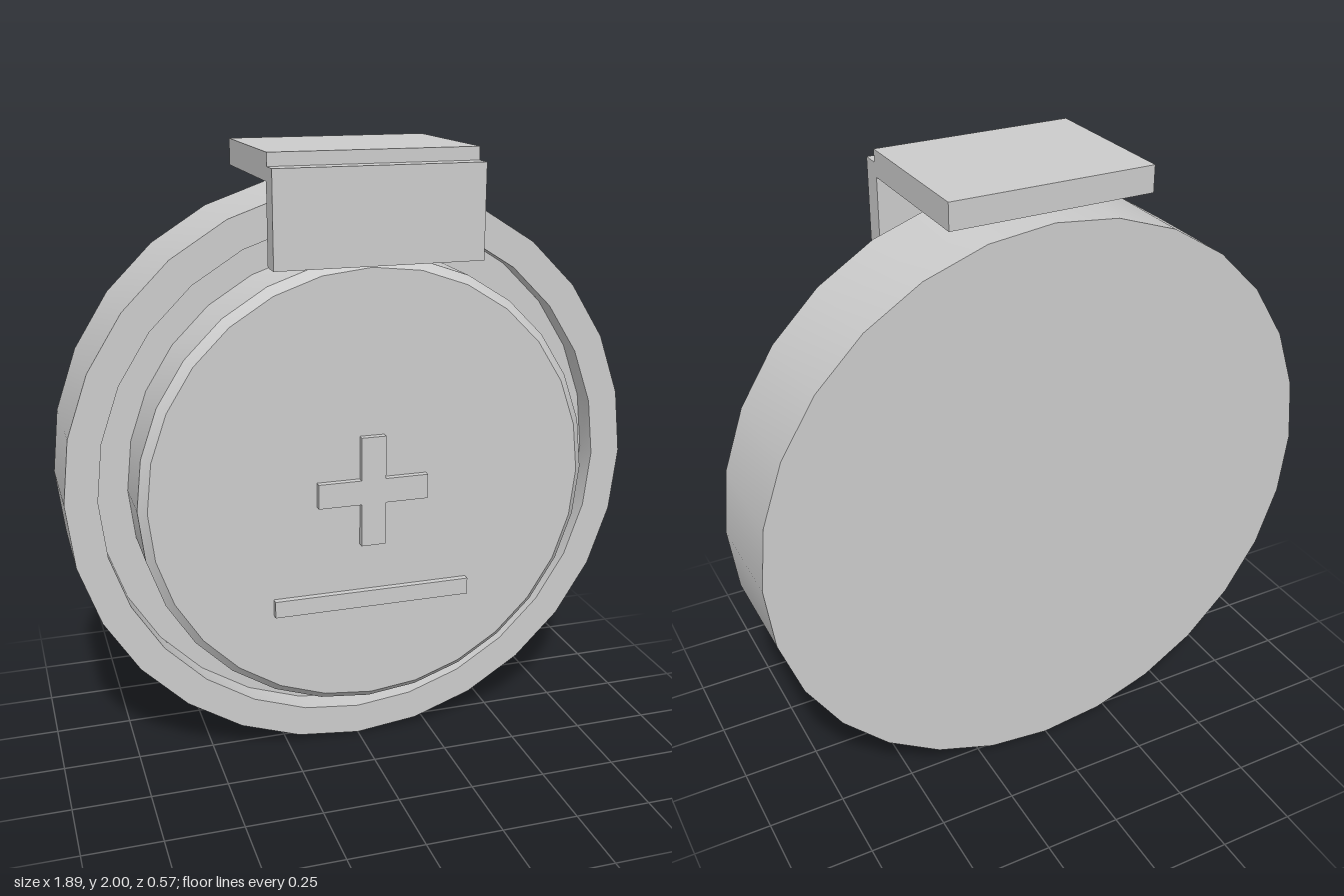
import * as THREE from 'three';
import { toCreasedNormals } from 'three/addons/utils/BufferGeometryUtils.js';

const SIDES = 28;
const CENTER_Y = 0.943;

export function createModel() {
  const model = new THREE.Group();
  model.name = 'coinCell';
  const steel = new THREE.MeshStandardMaterial({ color: 0xcccccc });
  steel.name = 'light grey steel';

  const add = (name, geometry, x = 0, y = 0, z = 0) => {
    const mesh = new THREE.Mesh(geometry, steel);
    mesh.name = name;
    mesh.position.set(x, y, z);
    model.add(mesh);
  };

  // Round part from a [radius, z] profile, turned to face +z
  const turned = (name, profile) => {
    const points = profile.map(([r, z]) => new THREE.Vector2(r, z));
    const geometry = new THREE.LatheGeometry(points, SIDES).rotateX(Math.PI / 2);
    add(name, toCreasedNormals(geometry, 0.6), 0, CENTER_Y, 0);
  };

  // Box given by its limits
  const block = (name, x0, x1, y0, y1, z0, z1) =>
    add(name, new THREE.BoxGeometry(x1 - x0, y1 - y0, z1 - z0),
      (x0 + x1) / 2, (y0 + y1) / 2, (z0 + z1) / 2);

  // Outer can with a raised rim around a sunken floor
  turned('can', [[0, -0.283], [0.943, -0.283], [0.943, 0.06], [0.84, 0.06], [0.84, -0.025], [0, -0.025]]);

  // Raised terminal disc with a chamfered edge
  turned('terminal', [[0.737, -0.025], [0.737, 0.178], [0.71, 0.205], [0, 0.205]]);

  // Plus sign
  const a = 0.04, b = 0.18;
  const plus = new THREE.Shape([
    [-a, -b], [a, -b], [a, -a], [b, -a], [b, a], [a, a],
    [a, b], [-a, b], [-a, a], [-b, a], [-b, -a], [-a, -a],
  ].map(([x, y]) => new THREE.Vector2(x, y)));
  add('plusSign', new THREE.ExtrudeGeometry(plus, { depth: 0.024, bevelEnabled: false }), 0, 0.947, 0.203);

  // Bar below the plus sign
  block('bar', -0.325, 0.325, 0.555, 0.61, 0.203, 0.227);

  // Contact clip over the top edge
  block('clipTop', -0.325, 0.325, 1.917, 2, -0.278, 0.227);
  block('clipFront', -0.325, 0.325, 1.67, 1.96, 0.215, 0.285);

  return model;
}
